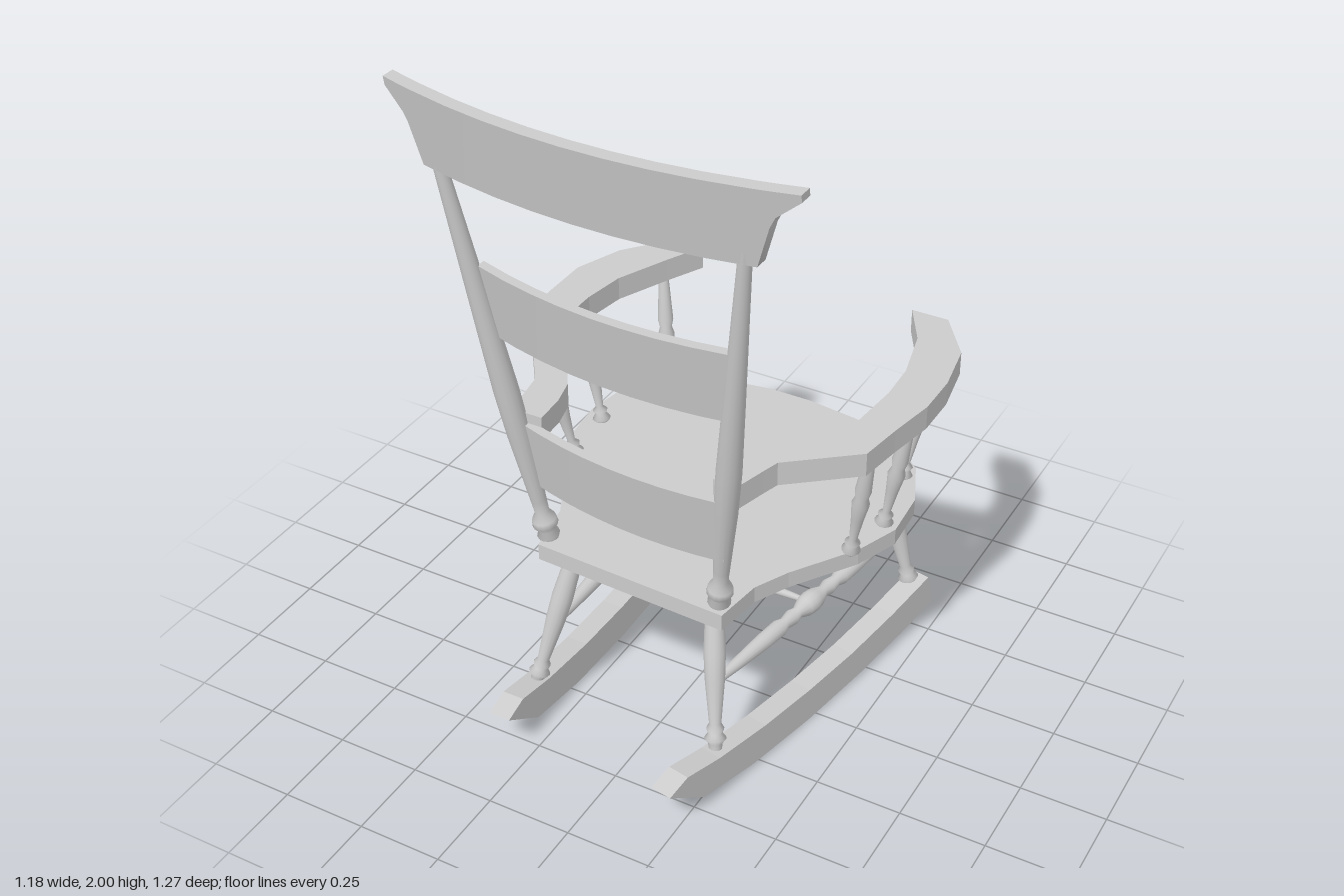
import * as THREE from 'three';

const mat = new THREE.MeshStandardMaterial({ color: 0xcccccc });

export function createModel() {
  const chair = new THREE.Group();
  const add = (name, geo) => {
    const m = new THREE.Mesh(geo, mat);
    m.name = name;
    chair.add(m);
    return m;
  };

  // Flat board from an [x, z] outline
  const board = (name, pts, top, thick) => {
    const shape = new THREE.Shape(pts.map(p => new THREE.Vector2(...p)));
    const geo = new THREE.ExtrudeGeometry(shape, { depth: thick, bevelEnabled: false });
    add(name, geo.rotateX(Math.PI / 2).translate(0, top, 0));
  };

  // Turned rod from a to b; profile is [position along rod 0..1, radius]
  const turned = (name, a, b, profile) => {
    const from = new THREE.Vector3(...a), dir = new THREE.Vector3(...b).sub(from);
    const len = dir.length();
    const pts = profile.map(([t, r]) => new THREE.Vector2(r, t * len));
    const m = add(name, new THREE.LatheGeometry(pts, 14));
    m.position.copy(from);
    m.quaternion.setFromUnitVectors(new THREE.Vector3(0, 1, 0), dir.normalize());
  };

  // Bowed, leaning back rail through stations [x, bottom, top]
  const rail = (name, st, { z, yaw, bow, thick }) => {
    const n = st.length - 1;
    const top = Math.max(...st.map(s => s[2]));
    const geo = new THREE.BoxGeometry(n, 1, 1, n, 1, 1);
    const p = geo.attributes.position;
    for (let i = 0; i < p.count; i++) {
      const [x, lo, hi] = st[Math.round(p.getX(i) + n / 2)];
      const y = p.getY(i) > 0 ? hi : lo;
      const back = z + yaw * x - bow * x * x - 0.17 * (top - y);
      p.setXYZ(i, x, y, p.getZ(i) > 0 ? back : back - thick);
    }
    geo.computeVertexNormals();
    add(name, geo);
  };
  const evenStations = (x0, x1, lo, hi, n = 8) =>
    Array.from({ length: n + 1 }, (_, i) => [x0 + (x1 - x0) * i / n, lo, hi]);

  // Seat
  board('seat', [
    [-0.3, 0.38], [-0.33, 0.22], [-0.45, 0], [-0.5, -0.12], [-0.515, -0.25], [-0.49, -0.4],
    [-0.4, -0.51], [-0.26, -0.58], [-0.1, -0.605], [0.03, -0.605], [0.19, -0.585],
    [0.34, -0.54], [0.45, -0.44], [0.51, -0.3], [0.52, -0.15], [0.47, -0.02],
    [0.35, 0.16], [0.3, 0.26], [0.28, 0.405]], 0.615, 0.05);

  // Curved arms: outer edge front to back, then inner edge back to front
  board('rightArm', [
    [-0.43, -0.605], [-0.54, -0.47], [-0.595, -0.325], [-0.595, -0.18], [-0.585, -0.055],
    [-0.385, 0.23], [-0.36, 0.38], [-0.27, 0.38], [-0.275, 0.29], [-0.295, 0.21],
    [-0.48, -0.07], [-0.48, -0.2], [-0.46, -0.33], [-0.39, -0.49], [-0.335, -0.605]], 1.04, 0.07);
  board('leftArm', [
    [0.46, -0.58], [0.56, -0.44], [0.587, -0.285], [0.587, -0.155], [0.56, -0.015],
    [0.54, 0.115], [0.36, 0.26], [0.345, 0.31], [0.32, 0.4], [0.25, 0.4], [0.26, 0.31],
    [0.28, 0.25], [0.445, 0.115], [0.455, 0], [0.47, -0.165], [0.465, -0.285],
    [0.425, -0.45], [0.35, -0.58]], 1.04, 0.07);

  // Back posts
  const postProfile = [[0, 0.02], [0.02, 0.032], [0.035, 0.024], [0.05, 0.036], [0.065, 0.034],
    [0.085, 0.02], [0.12, 0.022], [0.3, 0.032], [0.42, 0.034], [0.6, 0.029], [1, 0.017]];
  turned('rightBackPost', [-0.293, 0.6, 0.33], [-0.445, 1.82, 0.51], postProfile);
  turned('leftBackPost', [0.247, 0.6, 0.36], [0.413, 1.82, 0.55], postProfile);

  // Crest with flared ears, and two slats
  rail('crestRail', [
    [-0.58, 1.975, 2], [-0.525, 1.92, 2], [-0.515, 1.9, 2], [-0.485, 1.785, 2],
    ...evenStations(-0.36, 0.32, 1.785, 2, 6),
    [0.445, 1.785, 2], [0.48, 1.9, 2], [0.495, 1.93, 2], [0.555, 1.98, 2]],
    { z: 0.627, yaw: 0.037, bow: 0.26, thick: 0.04 });
  rail('middleSlat', evenStations(-0.385, 0.355, 1.29, 1.505),
    { z: 0.537, yaw: 0.07, bow: 0.35, thick: 0.028 });
  rail('lowerSlat', evenStations(-0.335, 0.29, 0.8, 1.01),
    { z: 0.457, yaw: 0.08, bow: 0.38, thick: 0.028 });

  // Arm spindles
  const spindleProfile = [[0, 0.016], [0.04, 0.027], [0.08, 0.016], [0.11, 0.022], [0.14, 0.011],
    [0.35, 0.018], [0.5, 0.025], [0.56, 0.018], [0.62, 0.023], [1, 0.014]];
  [
    ['right', -0.365, -0.45, -0.41, -0.5], ['right', -0.46, -0.22, -0.53, -0.23],
    ['right', -0.44, -0.04, -0.51, 0.01],
    ['left', 0.43, -0.39, 0.475, -0.45], ['left', 0.475, -0.165, 0.545, -0.15],
    ['left', 0.45, -0.01, 0.515, 0.03],
  ].forEach(([side, x0, z0, x1, z1]) =>
    turned(side + 'ArmSpindle', [x0, 0.605, z0], [x1, 0.985, z1], spindleProfile));

  // Legs, from rocker up to seat
  const legProfile = [[0, 0.018], [0.06, 0.02], [0.09, 0.031], [0.12, 0.02], [0.15, 0.025],
    [0.18, 0.017], [0.45, 0.028], [0.62, 0.031], [1, 0.023]];
  turned('rightBackLeg', [-0.323, 0.12, 0.395], [-0.235, 0.58, 0.275], legProfile);
  turned('leftBackLeg', [0.258, 0.12, 0.395], [0.187, 0.58, 0.275], legProfile);
  turned('rightFrontLeg', [-0.32, 0.12, -0.545], [-0.25, 0.58, -0.532], legProfile);
  turned('leftFrontLeg', [0.428, 0.12, -0.515], [0.315, 0.58, -0.49], legProfile);

  // Stretchers, mirrored about their middle bead
  const half = [[0, 0.011], [0.1, 0.017], [0.25, 0.024], [0.33, 0.025], [0.36, 0.017],
    [0.4, 0.023], [0.43, 0.017], [0.47, 0.03], [0.5, 0.033]];
  const stretcher = [...half, ...half.slice(0, -1).reverse().map(([t, r]) => [1 - t, r])];
  const thin = stretcher.map(([t, r]) => [t, r * 0.6]);
  turned('rightStretcher', [-0.286, 0.315, 0.345], [-0.295, 0.335, -0.54], stretcher);
  turned('leftStretcher', [0.226, 0.315, 0.34], [0.378, 0.335, -0.5], stretcher);
  turned('crossStretcher', [-0.29, 0.325, -0.09], [0.302, 0.325, -0.08], thin);

  // Rockers: side profile [z, y]
  const rockerShape = new THREE.Shape([
    [0.608, 0.143], [0.535, 0.165], [0.4, 0.138], [0.2, 0.117], [0, 0.11], [-0.2, 0.114],
    [-0.4, 0.134], [-0.58, 0.163], [-0.61, 0.055], [-0.45, 0.03], [-0.25, 0.01], [0, 0],
    [0.25, 0.01], [0.465, 0.042]].map(p => new THREE.Vector2(...p)));
  const rockerGeo = new THREE.ExtrudeGeometry(rockerShape, { depth: 0.065, bevelEnabled: false })
    .translate(0, 0, -0.0325).rotateY(-Math.PI / 2);
  add('rightRocker', rockerGeo).position.set(-0.322, 0, -0.025);
  const left = add('leftRocker', rockerGeo);
  left.position.set(0.333, 0, 0.028);
  left.rotation.y = -0.19;

  return chair;
}
